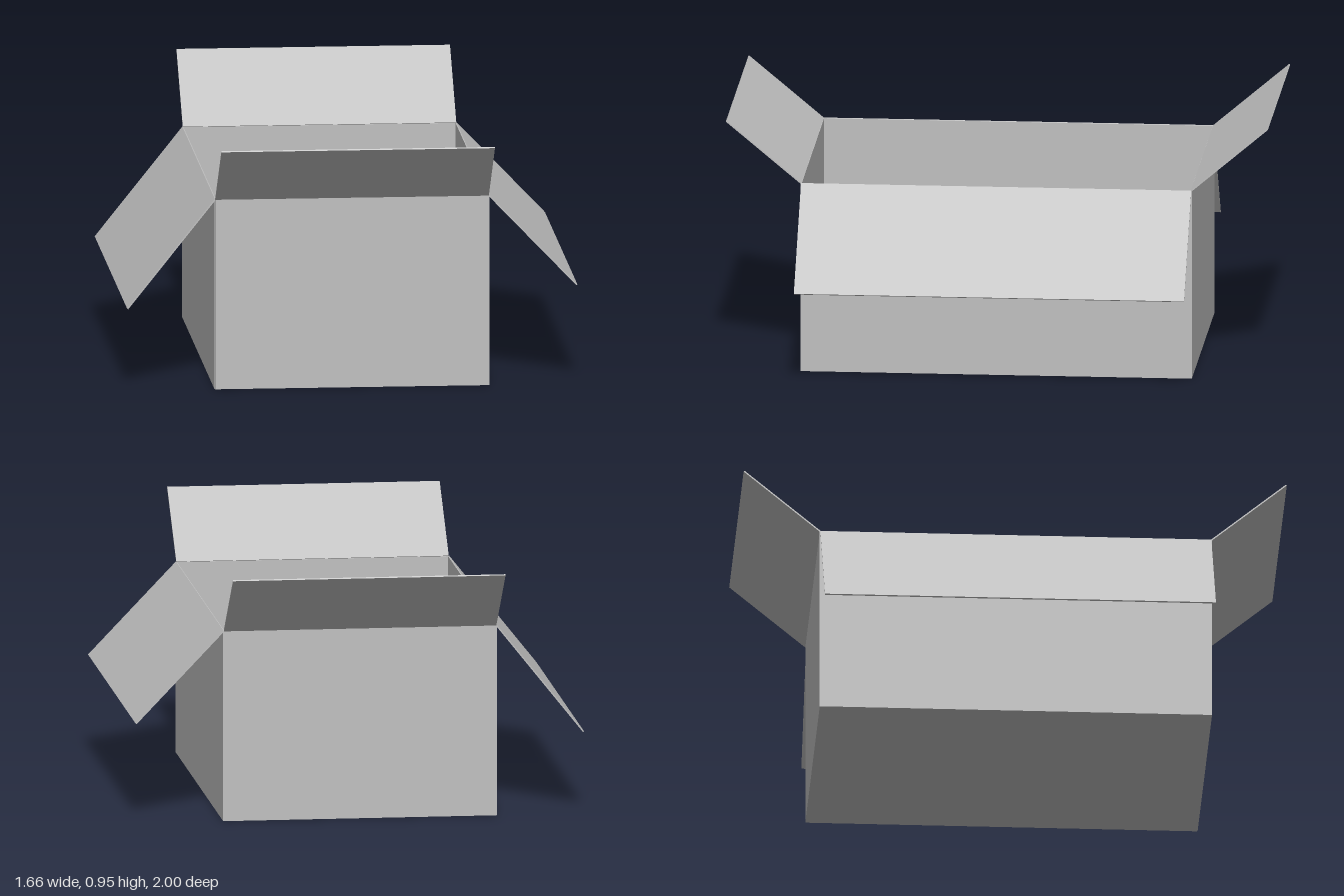
import * as THREE from 'three';

const T = 0.005; // cardboard thickness
const H = 0.71; // wall height
const X0 = -0.507, X1 = 0.502; // side wall planes
const Z0 = -0.717, Z1 = 0.722; // back and front wall planes

export function createModel() {
  const box = new THREE.Group();
  box.name = 'openBox';
  const cardboard = new THREE.MeshStandardMaterial({ color: 0xc0c0c0 });
  cardboard.name = 'greyCardboard';

  // Flat sheet running from a to b, each given as [across, height].
  // Across is x for the side sheets and z for the front and back sheets.
  function sheet(name, axis, a, b) {
    const length = Math.hypot(b[0] - a[0], b[1] - a[1]);
    const tilt = Math.atan2(b[0] - a[0], b[1] - a[1]);
    const across = (a[0] + b[0]) / 2;
    const height = (a[1] + b[1]) / 2;
    const side = axis === 'x';
    const geometry = side
      ? new THREE.BoxGeometry(T, length, Z1 - Z0)
      : new THREE.BoxGeometry(X1 - X0, length, T);
    const mesh = new THREE.Mesh(geometry, cardboard);
    mesh.name = name;
    if (side) {
      mesh.rotation.z = -tilt;
      mesh.position.set(across, height, (Z0 + Z1) / 2);
    } else {
      mesh.rotation.x = tilt;
      mesh.position.set((X0 + X1) / 2, height, across);
    }
    box.add(mesh);
  }

  // Floor
  const floor = new THREE.Mesh(new THREE.BoxGeometry(X1 - X0, T, Z1 - Z0), cardboard);
  floor.name = 'floor';
  floor.position.set((X0 + X1) / 2, T / 2, (Z0 + Z1) / 2);
  box.add(floor);

  // Each wall with its opened flap: name, axis, wall plane, flap tip
  const sides = [
    ['right', 'x', X0, [-0.83, 0.305]],
    ['left', 'x', X1, [0.827, 0.37]],
    ['back', 'z', Z0, [-0.998, 0.948]],
    ['front', 'z', Z1, [0.998, 0.94]],
  ];
  for (const [name, axis, plane, tip] of sides) {
    sheet(name + 'Wall', axis, [plane, 0], [plane, H]);
    sheet(name + 'Flap', axis, [plane, H], tip);
  }
  return box;
}
